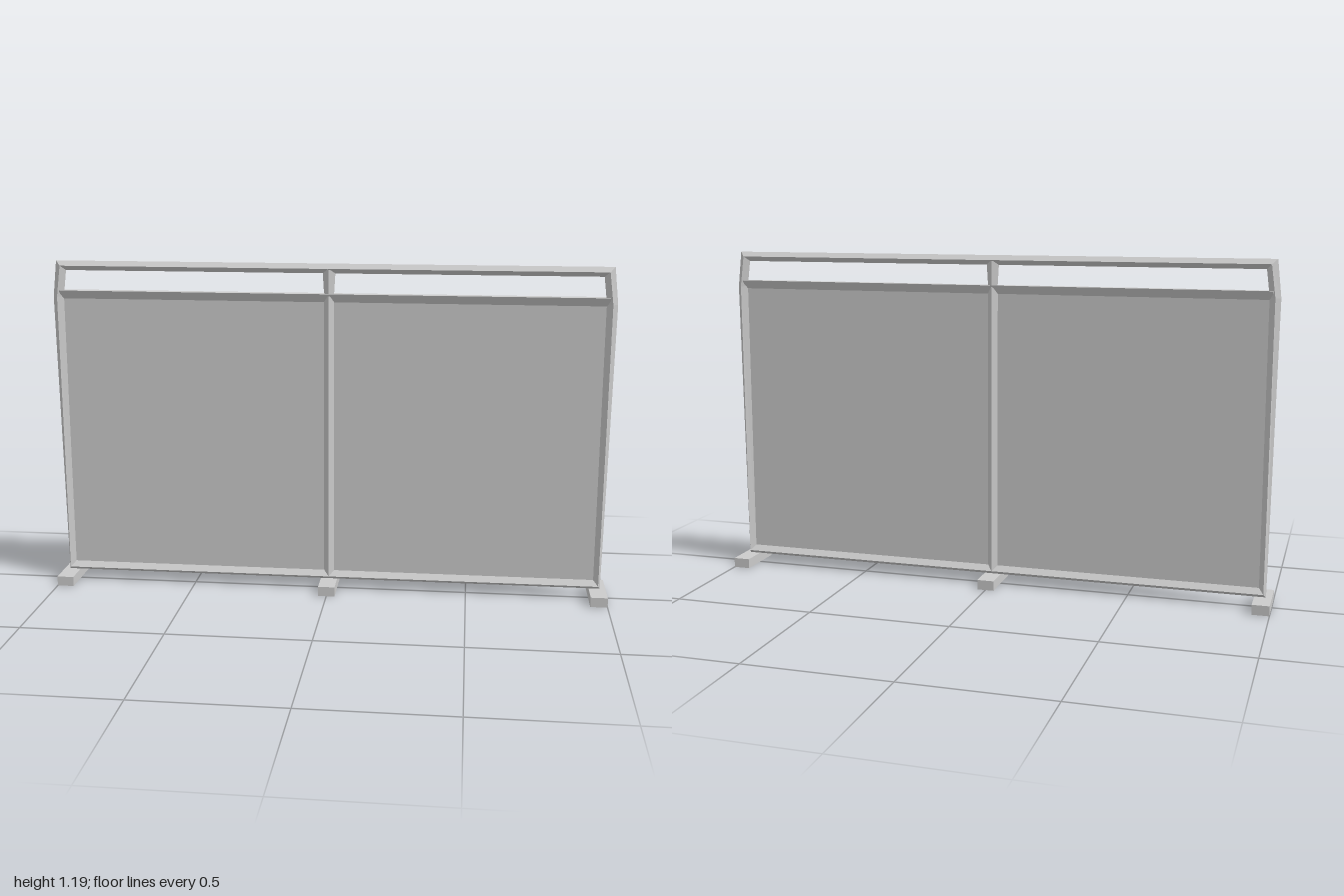
import * as THREE from 'three';

const HALF = 0.018; // half depth of the bars

export function createModel() {
  const group = new THREE.Group();
  const material = new THREE.MeshStandardMaterial({ color: 0xcccccc, flatShading: true });
  const panelMaterial = new THREE.MeshStandardMaterial({ color: 0xcccccc, side: THREE.DoubleSide });

  const add = (name, geometry, x = 0, y = 0, z = 0, mat = material) => {
    const mesh = new THREE.Mesh(geometry, mat);
    mesh.name = name;
    mesh.position.set(x, y, z);
    group.add(mesh);
    return mesh;
  };

  // One half of an outline, mirrored into a closed clockwise loop
  const mirrorLoop = (pts) => [...pts, ...pts.slice().reverse().map(([x, y]) => [-x, y])];

  // Mitred frame of diamond section: outer edge, front ridge, inner edge, back ridge
  const outer = mirrorLoop([[-0.98, 0.035], [-0.991, 1.06], [-0.976, 1.19]]);
  const ridge = mirrorLoop([[-0.972, 0.048], [-0.973, 1.062], [-0.958, 1.173]]);
  const inner = mirrorLoop([[-0.955, 0.067], [-0.953, 1.064], [-0.941, 1.156]]);
  const rings = [[outer, 0], [ridge, HALF], [inner, 0], [ridge, -HALF]];
  const positions = [];
  for (const [pts, z] of rings) for (const [x, y] of pts) positions.push(x, y, z);
  const n = outer.length;
  const index = [];
  for (let r = 0; r < 4; r++) {
    for (let i = 0; i < n; i++) {
      const a = r * n + i, b = r * n + (i + 1) % n;
      const c = ((r + 1) % 4) * n + i, d = ((r + 1) % 4) * n + (i + 1) % n;
      index.push(a, c, b, b, c, d);
    }
  }
  const frame = new THREE.BufferGeometry();
  frame.setAttribute('position', new THREE.Float32BufferAttribute(positions, 3));
  frame.setIndex(index);
  const frameFlat = frame.toNonIndexed();
  frameFlat.computeVertexNormals();
  add('outerFrame', frameFlat);

  // Middle rail: flat on top, sloping in to the panel below
  const railShape = new THREE.Shape([[-HALF, 1.085], [0, 1.055], [HALF, 1.085]].map(([x, y]) => new THREE.Vector2(x, y)));
  const railGeometry = new THREE.ExtrudeGeometry(railShape, { depth: 1.93, bevelEnabled: false });
  railGeometry.translate(0, 0, -0.965).rotateY(Math.PI / 2);
  add('middleRail', railGeometry);

  // Centre post with an edge to the front, flaring towards the top bar
  add('centrePost', new THREE.CylinderGeometry(HALF, HALF, 1.03, 4), 0, 0.562);
  const upperPost = new THREE.CylinderGeometry(0.023, 0.017, 0.096, 4);
  upperPost.scale(1, 1, 0.8);
  add('upperCentrePost', upperPost, 0, 1.122);

  // Thin infill panels either side of the post
  for (const [name, side] of [['rightPanel', -1], ['leftPanel', 1]]) {
    add(name, new THREE.PlaneGeometry(0.965, 1.02), side * 0.4825, 0.56, 0, panelMaterial);
  }

  // Block feet
  for (const [name, x] of [['rightFoot', -0.97], ['centreFoot', 0], ['leftFoot', 0.97]]) {
    add(name, new THREE.BoxGeometry(0.06, 0.035, 0.188), x, 0.0175, 0);
  }
  return group;
}
